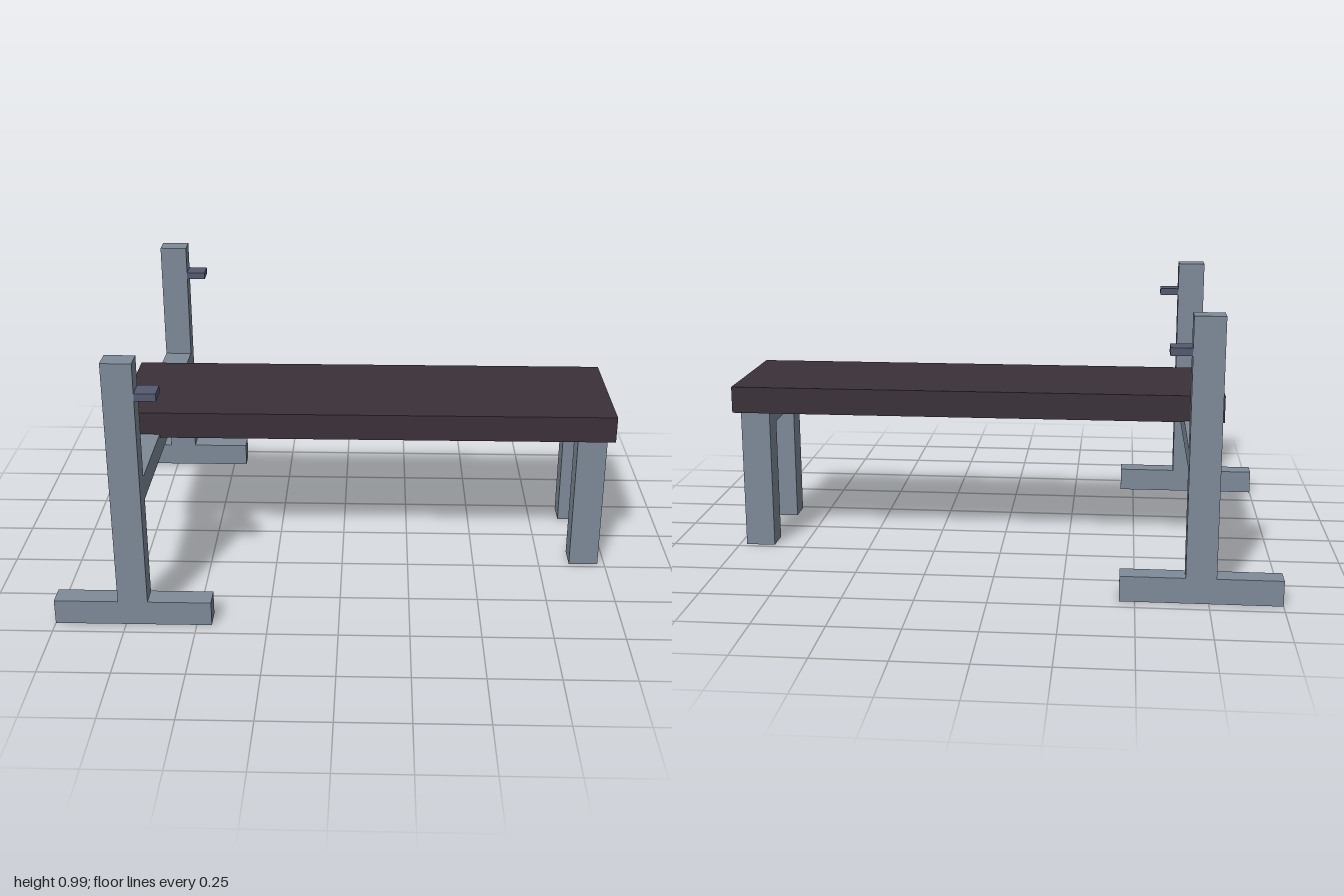
import * as THREE from 'three';

export function createModel() {
  const model = new THREE.Group();
  model.name = 'weightBench';

  const material = (name, color) => {
    const m = new THREE.MeshStandardMaterial({ color });
    m.name = name;
    return m;
  };
  const steel = material('grey steel', 0x7f8b99);
  const darkSteel = material('dark steel', 0x545a70);
  const padding = material('dark padding', 0x3b3239);

  const add = (name, geometry, mat, parent = model) => {
    const mesh = new THREE.Mesh(geometry, mat);
    mesh.name = name;
    parent.add(mesh);
  };

  // Box given by its lower and upper limits on each axis
  const box = (name, [x0, x1], [y0, y1], [z0, z1], mat, parent) => {
    const g = new THREE.BoxGeometry(x1 - x0, y1 - y0, z1 - z0);
    g.translate((x0 + x1) / 2, (y0 + y1) / 2, (z0 + z1) / 2);
    add(name, g, mat, parent);
  };

  // Outline of [z, y] points, extruded along x
  const profile = (name, points, [x0, x1], mat) => {
    const shape = new THREE.Shape(points.map(([z, y]) => new THREE.Vector2(z, y)));
    const g = new THREE.ExtrudeGeometry(shape, { depth: x1 - x0, bevelEnabled: false });
    g.rotateY(-Math.PI / 2).translate(x1, 0, 0);
    add(name, g, mat);
  };

  // Padded bench top
  box('benchPad', [-0.815, 1], [0.522, 0.62], [-0.253, 0.253], padding);

  // Arched leg frame at the far end
  profile('legFrame', [
    [-0.23, 0], [-0.135, 0], [-0.135, 0.465], [0.135, 0.465],
    [0.135, 0], [0.23, 0], [0.23, 0.522], [-0.23, 0.522],
  ], [0.866, 0.974], steel);

  // Slightly sagging rail joining the two uprights
  profile('crossRail', [
    [-0.62, 0.455], [0, 0.446], [0.62, 0.455], [0.62, 0.541], [-0.62, 0.521],
  ], [-0.775, -0.67], steel);

  // Uprights, each with a foot and a bar rest
  for (const side of [-1, 1]) {
    const upright = new THREE.Group();
    upright.name = side > 0 ? 'frontUpright' : 'backUpright';
    model.add(upright);
    const z = side > 0 ? [0.619, 0.697] : [-0.697, -0.619];
    box('post', [-0.775, -0.67], [0.09, 0.985], z, steel, upright);
    box('foot', [-1, -0.447], [0, 0.09], z, steel, upright);
    box('barRest', [-0.67, -0.597], [0.853, 0.88], z, darkSteel, upright);
  }

  return model;
}
